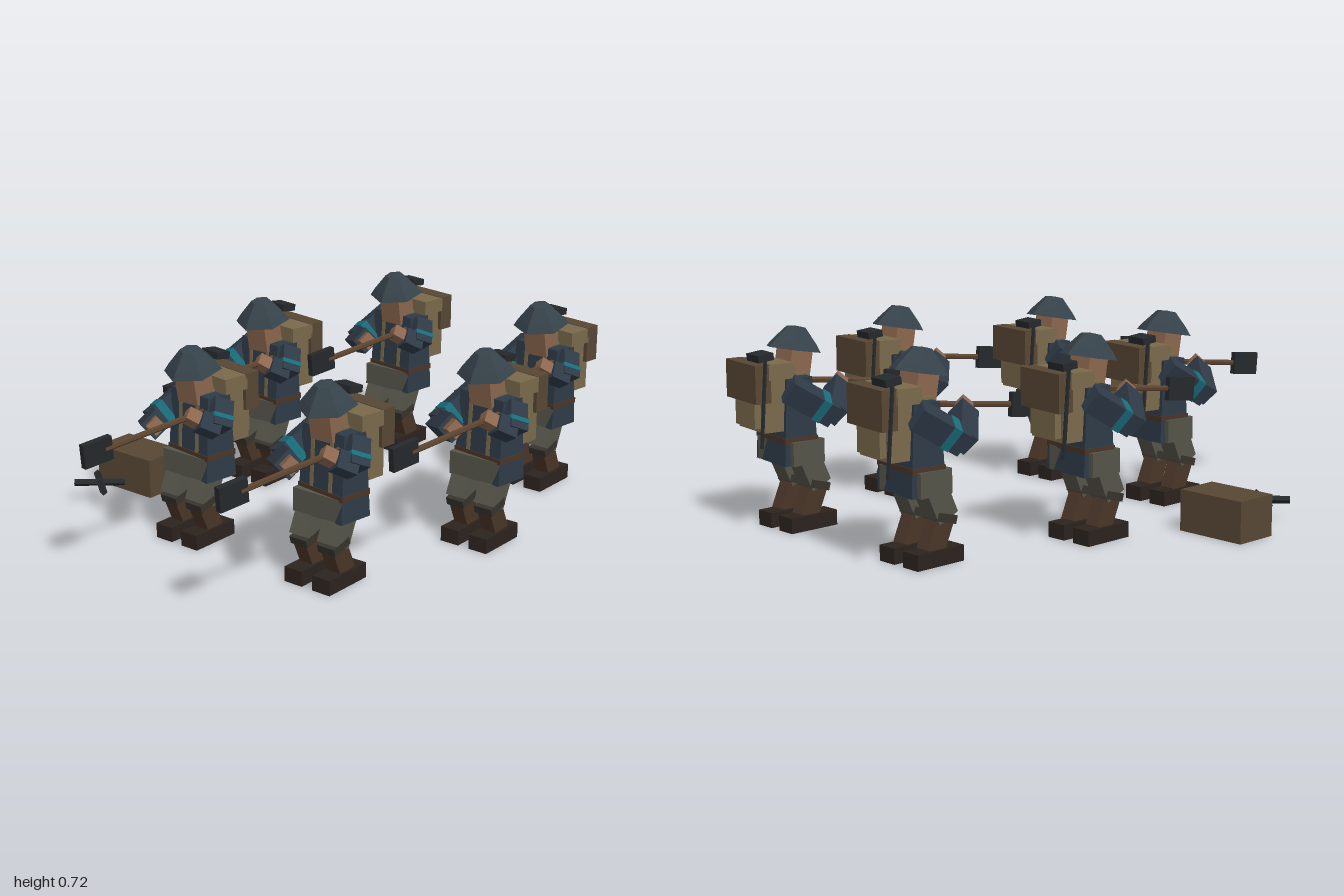
import * as THREE from 'three';

const mat = (color) => new THREE.MeshStandardMaterial({ color, flatShading: true });
const M = {
  coat: mat(0x2f3b48), helmet: mat(0x36424a), teal: mat(0x1a6e7d), trousers: mat(0x55544a),
  cuff: mat(0x37332c), leather: mat(0x4a3527), boot: mat(0x2c231e), skin: mat(0x8c674e),
  pack: mat(0x7a6a4b), roll: mat(0x584734), wood: mat(0x5c432f), metal: mat(0x25292c),
};
const UP = new THREE.Vector3(0, 1, 0);

function add(parent, name, geometry, material, x = 0, y = 0, z = 0) {
  const mesh = new THREE.Mesh(geometry, material);
  mesh.name = name;
  mesh.position.set(x, y, z);
  parent.add(mesh);
  return mesh;
}

const box = (parent, name, material, [w, h, d], [x, y, z]) =>
  add(parent, name, new THREE.BoxGeometry(w, h, d), material, x, y, z);

// Box whose top face is scaled in width and depth
function taperedBox(w, h, d, sx, sz) {
  const g = new THREE.BoxGeometry(w, h, d);
  const p = g.attributes.position;
  for (let i = 0; i < p.count; i++) {
    if (p.getY(i) > 0) p.setXYZ(i, p.getX(i) * sx, p.getY(i), p.getZ(i) * sz);
  }
  g.computeVertexNormals();
  return g;
}

// Box or rod running between two points
function limb(parent, name, material, a, b, w, d = w, round = false) {
  const A = new THREE.Vector3(...a), B = new THREE.Vector3(...b);
  const dir = B.clone().sub(A), len = dir.length();
  const g = round ? new THREE.CylinderGeometry(w / 2, w / 2, len, 6) : new THREE.BoxGeometry(w, len, d);
  const mid = A.clone().add(B).multiplyScalar(0.5);
  const mesh = add(parent, name, g, material, mid.x, mid.y, mid.z);
  mesh.quaternion.setFromUnitVectors(UP, dir.normalize());
  return mesh;
}

function buildLegs(s) {
  for (const [side, x] of [['right', -0.075], ['left', 0.045]]) {
    box(s, side + 'Boot', M.boot, [0.075, 0.055, 0.2], [x, 0.0275, -0.015]);
    limb(s, side + 'Shin', M.leather, [x, 0.045, -0.03], [x, 0.16, 0.02], 0.055, 0.075);
    limb(s, side + 'Cuff', M.cuff, [x, 0.142, 0.012], [x, 0.17, 0.02], 0.073, 0.085);
    limb(s, side + 'Thigh', M.trousers, [x, 0.155, 0.022], [x, 0.27, -0.03], 0.072, 0.088);
  }
}

function buildTorso(s) {
  const t = new THREE.Group();
  t.name = 'torso';
  t.rotation.y = -0.13;
  s.add(t);
  add(t, 'coat', taperedBox(0.21, 0.31, 0.135, 0.95, 0.74), M.coat, -0.01, 0.395, -0.045);
  box(t, 'belt', M.leather, [0.214, 0.02, 0.13], [-0.01, 0.33, -0.045]);
  for (const x of [-0.055, 0.035]) {
    const strap = box(t, 'strap', M.pack, [0.017, 0.225, 0.012], [x, 0.443, 0.007]);
    strap.rotation.x = -0.055;
    box(t, 'shoulderStrap', M.pack, [0.017, 0.012, 0.12], [x, 0.553, -0.05]);
  }
  // Backpack: main bag with a bulky upper bundle
  box(t, 'packBag', M.pack, [0.185, 0.22, 0.105], [-0.005, 0.475, -0.128]);
  box(t, 'packTop', M.pack, [0.215, 0.055, 0.1], [-0.005, 0.578, -0.115]);
  box(t, 'packRoll', M.roll, [0.215, 0.135, 0.06], [-0.005, 0.54, -0.188]);
  box(t, 'packPouch', M.pack, [0.14, 0.09, 0.04], [-0.005, 0.425, -0.185]);
  // Digging tool hung beside the pack
  limb(t, 'toolHandle', M.metal, [-0.122, 0.32, -0.205], [-0.118, 0.63, -0.18], 0.015, 0.015, true);
  const head = box(t, 'toolHead', M.metal, [0.085, 0.025, 0.06], [-0.09, 0.635, -0.185]);
  head.rotation.x = -0.12;
  box(s, 'hips', M.trousers, [0.21, 0.085, 0.135], [-0.015, 0.283, -0.037]);
}

function buildHead(s) {
  const h = new THREE.Group();
  h.name = 'head';
  h.position.set(0, 0.55, -0.02);
  h.rotation.x = 0.18;
  s.add(h);
  box(h, 'face', M.skin, [0.092, 0.14, 0.09], [0, 0.045, 0.005]);
  // Six-sided helmet with a sloping brim
  const profile = [[0, 0.085], [0.104, 0.085], [0.084, 0.112], [0.036, 0.165], [0, 0.168]];
  const g = new THREE.LatheGeometry(profile.map((p) => new THREE.Vector2(...p)), 6);
  add(h, 'helmet', g, M.helmet, 0, 0, 0);
}

// Arm with an armband at fraction t along the upper arm
function buildArm(s, side, shoulder, elbow, wrist, hand, w, t) {
  limb(s, side + 'UpperArm', M.coat, shoulder, elbow, w);
  const at = (k) => shoulder.map((v, i) => v + (elbow[i] - v) * k);
  limb(s, side + 'Armband', M.teal, at(t - 0.08), at(t + 0.08), w + 0.005);
  limb(s, side + 'Forearm', M.coat, elbow, wrist, w * 0.88);
  limb(s, side + 'Hand', M.skin, wrist, hand, 0.048);
}

function buildSpade(s) {
  limb(s, 'spadeShaft', M.wood, [0.085, 0.51, 0.04], [0.005, 0.468, 0.44], 0.022, 0.022, true);
  const blade = box(s, 'spadeBlade', M.metal, [0.024, 0.085, 0.115], [-0.004, 0.465, 0.468]);
  blade.rotation.set(0.09, -0.17, 0);
}

function buildSoldier(x, z) {
  const s = new THREE.Group();
  s.name = 'soldier';
  s.position.set(x, 0, z);
  buildLegs(s);
  buildTorso(s);
  buildHead(s);
  buildArm(s, 'right', [-0.105, 0.52, -0.11], [-0.162, 0.42, 0.04],
    [-0.01, 0.478, 0.18], [0.035, 0.495, 0.222], 0.083, 0.72);
  buildArm(s, 'left', [0.09, 0.525, -0.04], [0.13, 0.45, 0.015],
    [0.09, 0.485, 0.07], [0.06, 0.51, 0.1], 0.075, 0.65);
  buildSpade(s);
  return s;
}

export function createModel() {
  const model = new THREE.Group();
  model.name = 'diggingSquad';
  const places = [[-0.2, -0.77], [0.48, -0.77], [-0.37, -0.15], [0.65, -0.15], [-0.16, 0.47], [0.44, 0.47]];
  for (const [x, z] of places) model.add(buildSoldier(x, z));

  // Supply crate and a crossed pair of bars in front of it
  box(model, 'crate', M.roll, [0.275, 0.15, 0.17], [-0.6875, 0.075, 0.215]);
  limb(model, 'crossBar', M.metal, [-0.745, 0.08, 0.385], [-0.585, 0.08, 0.51], 0.02);
  limb(model, 'crossBar', M.metal, [-0.74, 0.08, 0.51], [-0.6, 0.08, 0.385], 0.02);
  return model;
}
